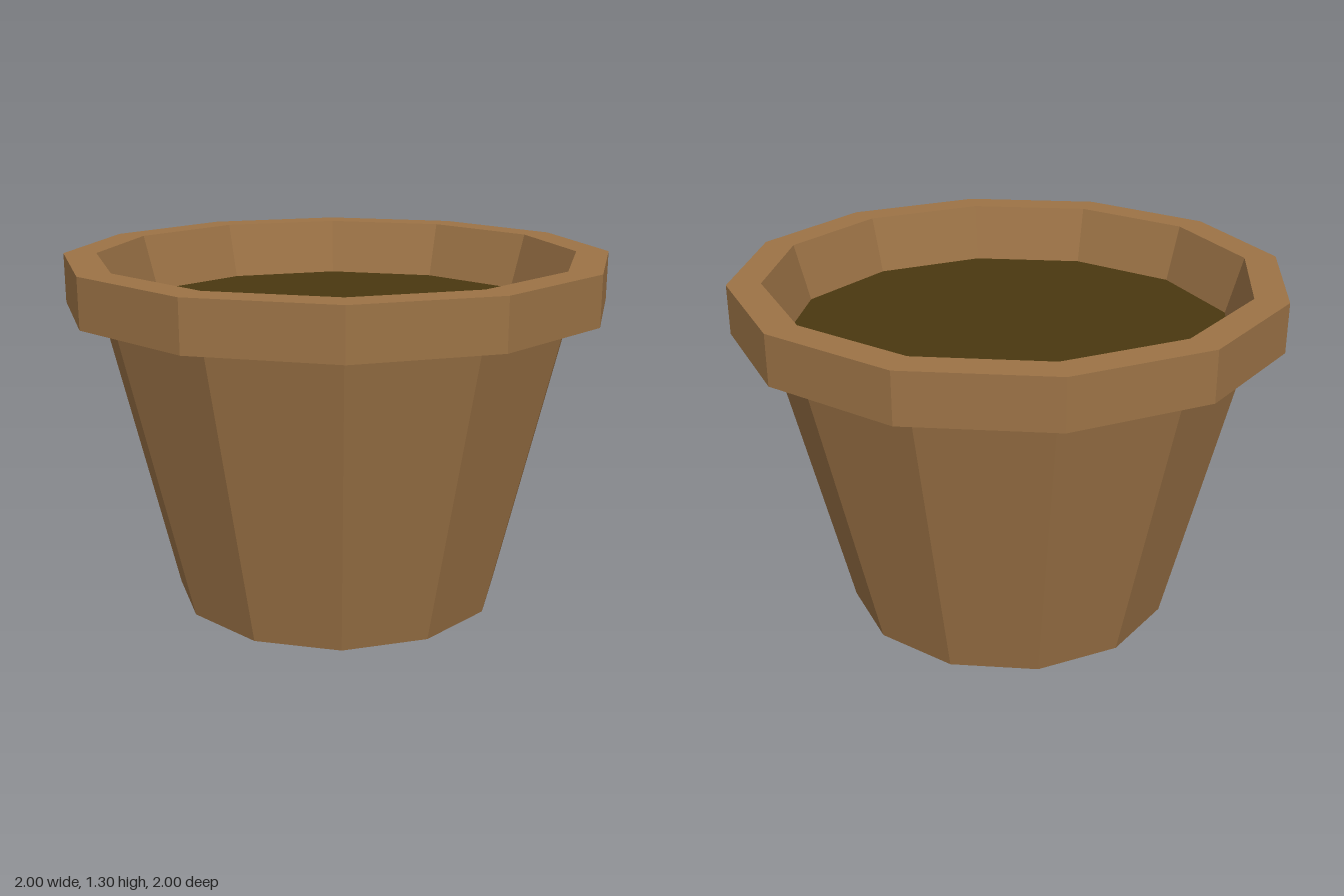
import * as THREE from 'three';

const SIDES = 12;
const clay = new THREE.MeshStandardMaterial({ color: 0x9c7346, flatShading: true });
const earth = new THREE.MeshStandardMaterial({ color: 0x4a3810, flatShading: true });

// Faceted solid of revolution from [radius, height] pairs
function turned(name, profile) {
  const points = profile.map(([r, y]) => new THREE.Vector2(r, y));
  const mesh = new THREE.Mesh(new THREE.LatheGeometry(points, SIDES), clay);
  mesh.name = name;
  return mesh;
}

export function createModel() {
  const group = new THREE.Group();
  group.name = 'flowerPot';

  const soilY = 1.09;

  // Closed base and tapered wall
  group.add(turned('body', [[0, 0], [0.615, 0], [0.88, 1.12]]));

  // Overhanging rim: underside, outer band, top, then inner wall down to the soil
  group.add(turned('rim', [[0.88, 1.12], [1, 1.12], [1, 1.3], [0.88, 1.3], [0.82, soilY]]));

  // Flat soil surface
  const soil = new THREE.Mesh(new THREE.CircleGeometry(0.82, SIDES), earth);
  soil.name = 'soil';
  soil.rotation.x = -Math.PI / 2;
  soil.position.y = soilY;
  group.add(soil);

  return group;
}
